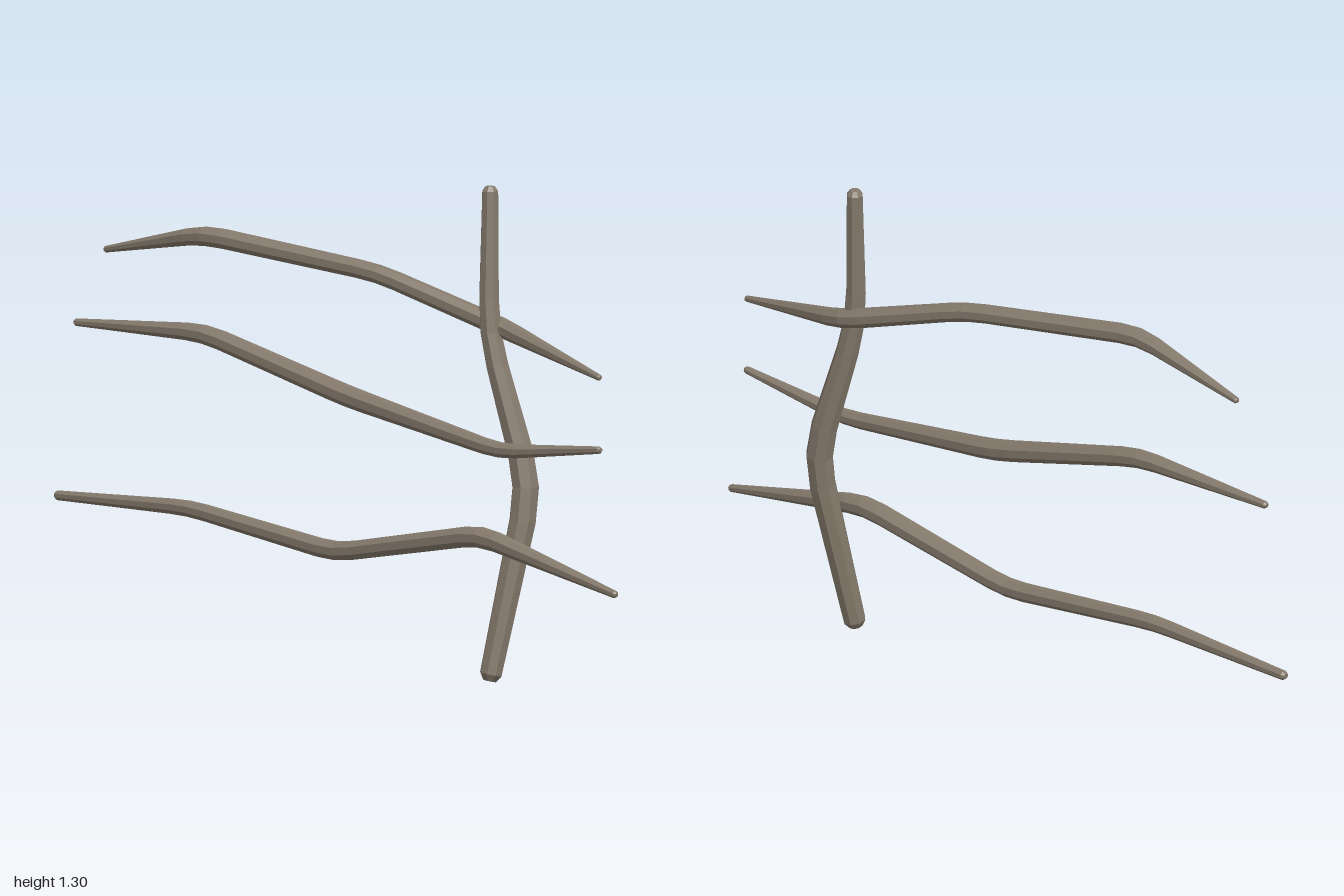
import * as THREE from 'three';

const SIDES = 8;

// Rounds each inner corner of a path of [x, y, z, radius] points
function soften(points, reach) {
  const p = points.map((a) => new THREE.Vector4(...a));
  const out = [p[0]];
  for (let i = 1; i < p.length - 1; i++) {
    const toward = (q) => {
      const d = Math.hypot(q.x - p[i].x, q.y - p[i].y, q.z - p[i].z);
      return p[i].clone().lerp(q, reach / d);
    };
    const a = toward(p[i - 1]);
    const b = toward(p[i + 1]);
    const mid = a.clone().add(b).multiplyScalar(0.25).addScaledVector(p[i], 0.5);
    out.push(a, mid, b);
  }
  out.push(p[p.length - 1]);
  return out;
}

// Adds a narrower ring at both ends, so that they look worn round
function roundEnds(path) {
  const bevel = (end, next) => {
    const d = Math.hypot(next.x - end.x, next.y - end.y, next.z - end.z);
    const tip = end.clone();
    tip.w *= 0.6;
    const shoulder = end.clone().lerp(next, (end.w * 0.6) / d);
    return [tip, shoulder];
  };
  const n = path.length;
  const [t0, s0] = bevel(path[0], path[1]);
  const [t1, s1] = bevel(path[n - 1], path[n - 2]);
  return [t0, s0, ...path.slice(1, -1), s1, t1];
}

// Faceted branch swept along a path with varying thickness
function branch(name, points, reach, reference, material) {
  const path = roundEnds(soften(points, reach));
  const centres = path.map((p) => new THREE.Vector3(p.x, p.y, p.z));
  const positions = [];
  centres.forEach((c, i) => {
    const before = centres[Math.max(i - 1, 0)];
    const after = centres[Math.min(i + 1, centres.length - 1)];
    const tangent = after.clone().sub(before).normalize();
    const u = reference.clone().addScaledVector(tangent, -reference.dot(tangent)).normalize();
    const v = tangent.clone().cross(u);
    for (let s = 0; s < SIDES; s++) {
      const angle = ((s + 0.5) / SIDES) * Math.PI * 2;
      const corner = c.clone()
        .addScaledVector(u, Math.cos(angle) * path[i].w)
        .addScaledVector(v, Math.sin(angle) * path[i].w);
      positions.push(corner.x, corner.y, corner.z);
    }
  });

  const index = [];
  const last = (path.length - 1) * SIDES;
  for (let i = 0; i < path.length - 1; i++) {
    for (let s = 0; s < SIDES; s++) {
      const a = i * SIDES + s;
      const b = i * SIDES + ((s + 1) % SIDES);
      index.push(a, b, b + SIDES, a, b + SIDES, a + SIDES);
    }
  }
  for (let s = 1; s < SIDES - 1; s++) {
    index.push(0, s + 1, s, last, last + s, last + s + 1);
  }

  const indexed = new THREE.BufferGeometry();
  indexed.setAttribute('position', new THREE.Float32BufferAttribute(positions, 3));
  indexed.setIndex(index);
  const geometry = indexed.toNonIndexed();
  geometry.computeVertexNormals();
  const mesh = new THREE.Mesh(geometry, material);
  mesh.name = name;
  return mesh;
}

export function createModel() {
  const group = new THREE.Group();
  group.name = 'branchFence';
  const wood = new THREE.MeshStandardMaterial({ color: 0x857a6c });
  wood.name = 'weathered wood';
  const up = new THREE.Vector3(0, 1, 0);
  const front = new THREE.Vector3(0, 0, 1);

  // Upright post
  group.add(branch('post', [
    [0.564, 0.004, 0.021, 0.03],
    [0.612, 0.51, -0.082, 0.038],
    [0.499, 0.91, -0.046, 0.029],
    [0.489, 1.295, -0.063, 0.022],
  ], 0.09, front, wood));

  // Three crooked rails, tapering to both ends
  const rails = {
    topRail: [
      [-0.75, 1.017, 0.086, 0.009],
      [-0.39, 1.094, 0.092, 0.027],
      [0.14, 1.036, -0.006, 0.025],
      [0.52, 0.922, -0.078, 0.027],
      [0.93, 0.838, -0.012, 0.008],
    ],
    middleRail: [
      [-0.93, 0.798, 0.008, 0.01],
      [-0.49, 0.812, -0.016, 0.026],
      [0, 0.692, -0.04, 0.029],
      [0.57, 0.607, -0.014, 0.021],
      [0.918, 0.645, -0.027, 0.01],
    ],
    bottomRail: [
      [-1, 0.333, 0.006, 0.013],
      [-0.53, 0.347, 0, 0.022],
      [0, 0.284, 0.004, 0.026],
      [0.5, 0.379, -0.014, 0.029],
      [1, 0.273, 0.001, 0.01],
    ],
  };
  for (const [name, points] of Object.entries(rails)) {
    group.add(branch(name, points, 0.06, up, wood));
  }
  return group;
}
